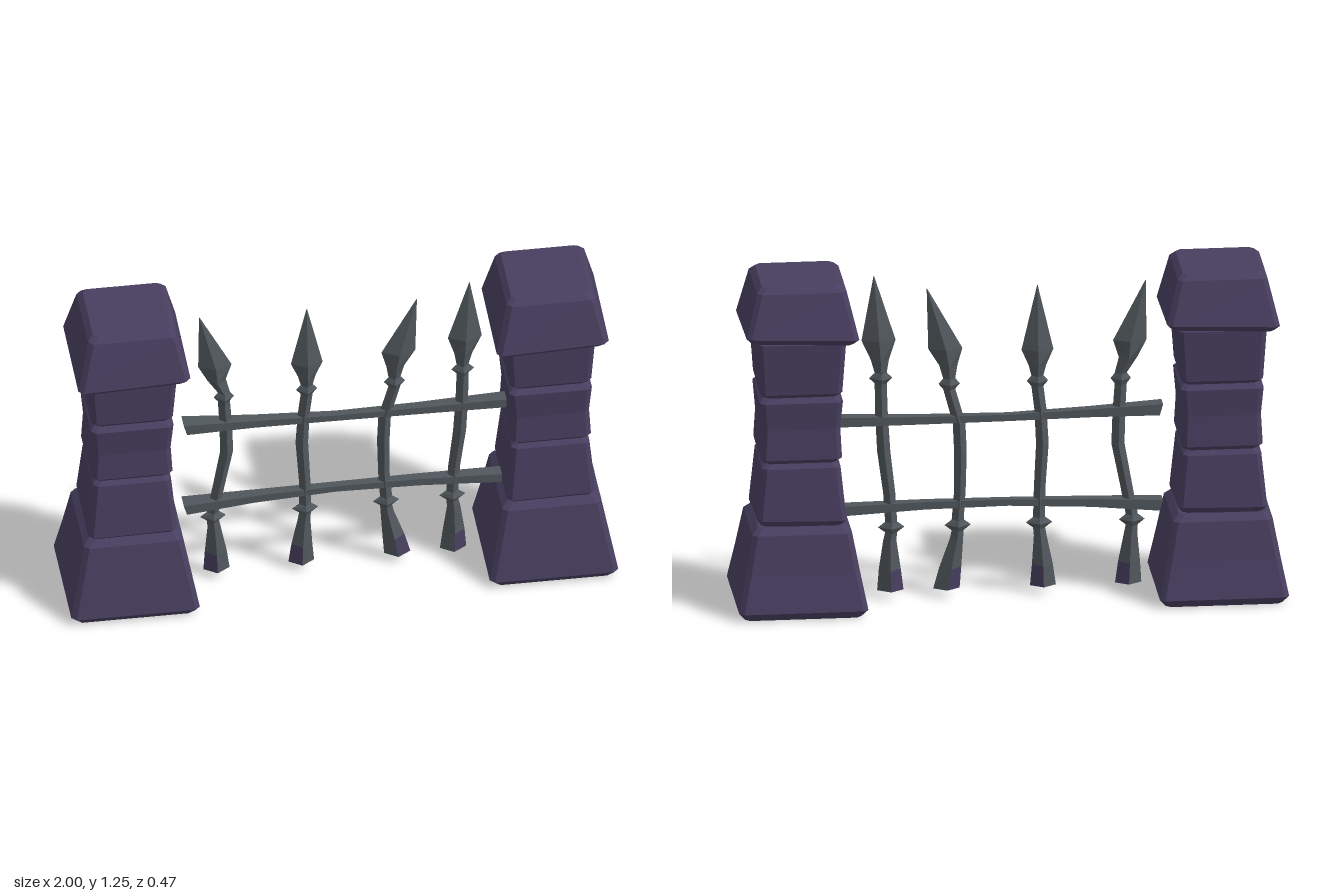
import * as THREE from 'three';

const stone = new THREE.MeshStandardMaterial({ color: 0x483f60, flatShading: true });
stone.name = 'purple stone';
const iron = new THREE.MeshStandardMaterial({ color: 0x50575c, flatShading: true });
iron.name = 'grey iron';

// Skins a stack of equal-sized rings; painted(i, j) picks faces for the second material
function loft(rings, painted = () => false) {
  const lists = [[], []];
  const tri = (k, ...pts) => pts.forEach((p) => lists[k].push(...p));
  const n = rings[0].length;
  for (let i = 0; i < rings.length - 1; i++) {
    for (let j = 0; j < n; j++) {
      const k = painted(i, j) ? 1 : 0, m = (j + 1) % n;
      const a = rings[i][j], b = rings[i][m], c = rings[i + 1][m], d = rings[i + 1][j];
      tri(k, a, b, c);
      tri(k, a, c, d);
    }
  }
  const first = rings[0], last = rings[rings.length - 1];
  for (let j = 1; j < n - 1; j++) {
    tri(0, first[0], first[j + 1], first[j]);
    tri(0, last[0], last[j], last[j + 1]);
  }
  const geo = new THREE.BufferGeometry();
  geo.setAttribute('position', new THREE.Float32BufferAttribute([...lists[0], ...lists[1]], 3));
  geo.addGroup(0, lists[0].length / 3, 0);
  if (lists[1].length) geo.addGroup(lists[0].length / 3, lists[1].length / 3, 1);
  geo.computeVertexNormals();
  return geo;
}

function add(parent, name, geo, mats) {
  const mesh = new THREE.Mesh(geo, mats);
  mesh.name = name;
  parent.add(mesh);
  return mesh;
}

// Square ring with cut corners, optionally tilted: level = [y, halfWidth, tiltX, tiltZ]
function squareRing([y, h, tx = 0, tz = 0]) {
  const c = h - 0.018;
  return [[h, c], [h, -c], [c, -h], [-c, -h], [-h, -c], [-h, c], [-c, h], [c, h]]
    .map(([x, z]) => [x, y + x * tx + z * tz, z]);
}

// Pillar blocks from the ground up
const blocks = {
  pillarBase: [[0, 0.212], [0.03, 0.235], [0.17, 0.207], [0.31, 0.181], [0.333, 0.158]],
  lowerBlock: [[0.327, 0.145, 0.02, -0.04], [0.35, 0.163, 0.02, -0.04],
    [0.555, 0.143, 0, 0.03], [0.575, 0.125, 0, 0.03]],
  middleBlock: [[0.572, 0.13, 0, 0.03], [0.59, 0.148, 0, 0.03], [0.7, 0.142],
    [0.805, 0.151, 0, 0.02], [0.823, 0.135, 0, 0.02]],
  upperBlock: [[0.822, 0.132, 0, 0.03], [0.84, 0.149, 0, 0.03],
    [1.02, 0.161, 0.02, -0.04], [1.04, 0.145, 0.02, -0.04]],
  pillarCap: [[1.03, 0.185, 0.04, -0.04], [1.052, 0.205, 0.04, -0.04], [1.225, 0.163], [1.245, 0.143]],
};

function pillar(x) {
  const g = new THREE.Group();
  g.name = x < 0 ? 'rightPillar' : 'leftPillar';
  for (const [name, levels] of Object.entries(blocks)) add(g, name, loft(levels.map(squareRing)), stone);
  g.position.x = x;
  return g;
}

// Diamond ring of a spear: level = [x, y, halfWidth]
function diamondRing([x, y, h]) {
  const d = Math.min(h, 0.032);
  return [[x + h, y, 0], [x, y, -d], [x - h, y, 0], [x, y, d]];
}

// Spear levels: foot, lower collar, bent shaft, upper collar, then head
const collar = (x, y, h) => [[x, y - 0.02, 0.022], [x, y, h], [x, y + 0.02, 0.022]];
const spears = [
  [[-0.437, 0.03, 0.048], [-0.44, 0.11, 0.04], [-0.446, 0.22, 0.024], ...collar(-0.45, 0.27, 0.047),
    [-0.43, 0.4, 0.022], [-0.4, 0.56, 0.024], [-0.403, 0.68, 0.023], ...collar(-0.41, 0.81, 0.037),
    [-0.437, 0.89, 0.034], [-0.443, 0.955, 0.061], [-0.5, 1.18, 0.001]],
  [[-0.127, 0.03, 0.047], [-0.125, 0.11, 0.038], [-0.117, 0.22, 0.023], ...collar(-0.113, 0.27, 0.048),
    [-0.115, 0.4, 0.021], [-0.125, 0.57, 0.023], [-0.118, 0.7, 0.022], ...collar(-0.107, 0.81, 0.039),
    [-0.107, 0.87, 0.032], [-0.107, 0.93, 0.058], [-0.107, 1.175, 0.001]],
  [[0.224, 0.03, 0.048], [0.21, 0.11, 0.04], [0.187, 0.22, 0.024], ...collar(0.183, 0.27, 0.048),
    [0.175, 0.4, 0.021], [0.173, 0.55, 0.023], [0.178, 0.66, 0.023], ...collar(0.214, 0.81, 0.039),
    [0.217, 0.88, 0.033], [0.228, 0.945, 0.062], [0.295, 1.175, 0.001]],
  [[0.428, 0.03, 0.048], [0.43, 0.11, 0.04], [0.43, 0.22, 0.024], ...collar(0.425, 0.27, 0.048),
    [0.432, 0.4, 0.022], [0.452, 0.56, 0.024], [0.46, 0.7, 0.023], ...collar(0.463, 0.84, 0.042),
    [0.466, 0.91, 0.033], [0.471, 0.985, 0.062], [0.488, 1.23, 0.001]],
];

// Square ring of a rail: level = [x, y, halfHeight, halfDepth]; the ends are slanted
function railRing([x, y, h, d, slant = 0]) {
  return [[x - slant, y + h, -d], [x - slant, y + h, d], [x + slant, y - h, d], [x + slant, y - h, -d]];
}

const rails = {
  upperRail: [[-0.555, 0.693, 0.021, 0.03, 0.006], [-0.3, 0.685, 0.015, 0.02],
    [0, 0.676, 0.012, 0.015], [0.3, 0.677, 0.014, 0.018], [0.62, 0.682, 0.018, 0.025]],
  lowerRail: [[-0.555, 0.328, 0.02, 0.03, 0.006], [-0.3, 0.343, 0.015, 0.02],
    [0, 0.353, 0.012, 0.015], [0.3, 0.352, 0.014, 0.018], [0.62, 0.342, 0.018, 0.025]],
};

export function createModel() {
  const model = new THREE.Group();
  model.name = 'fenceSection';
  model.add(pillar(-0.765), pillar(0.765));

  // Feet carry stone-coloured faces on two opposite sides
  spears.forEach((levels, s) => {
    const faces = s < 2 ? [0, 2] : [1, 3];
    const geo = loft(levels.map(diamondRing), (i, j) => i === 0 && faces.includes(j));
    add(model, 'spear' + (s + 1), geo, [iron, stone]);
  });

  for (const [name, levels] of Object.entries(rails)) add(model, name, loft(levels.map(railRing)), iron);
  return model;
}
